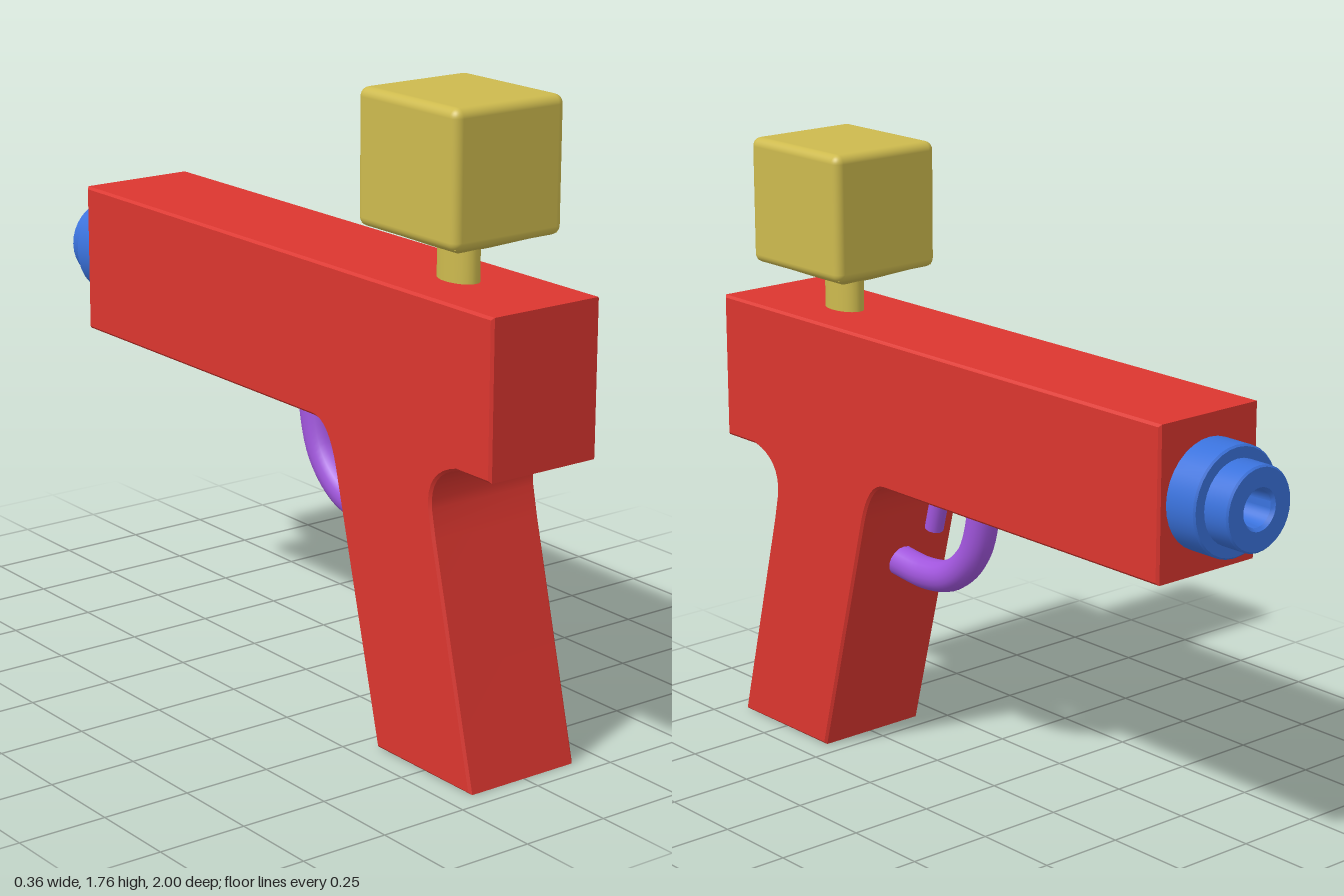
import * as THREE from 'three';
import { toCreasedNormals } from 'three/addons/utils/BufferGeometryUtils.js';
import { RoundedBoxGeometry } from 'three/addons/geometries/RoundedBoxGeometry.js';

const material = (name, color) => {
  const m = new THREE.MeshStandardMaterial({ color });
  m.name = name;
  return m;
};

export function createModel() {
  const model = new THREE.Group();
  const red = material('red', 0xdb362f);
  const blue = material('blue', 0x3a72dc);
  const purple = material('purple', 0xa055dc);
  const yellow = material('yellow', 0xcdba4e);
  const CX = -0.005; // centre line of the body

  const add = (name, geometry, mat, x = CX, y = 0, z = 0) => {
    const mesh = new THREE.Mesh(geometry, mat);
    mesh.name = name;
    mesh.position.set(x, y, z);
    model.add(mesh);
    return mesh;
  };

  // Body and grip: one side silhouette in (z, y), extruded across x
  const outline = new THREE.Shape();
  outline.moveTo(0.945, 0);
  outline.lineTo(0.557, 0);
  outline.lineTo(0.368, 0.73);
  outline.quadraticCurveTo(0.335, 0.85, 0.27, 0.85);
  outline.lineTo(-0.82, 0.85);
  outline.lineTo(-0.82, 1.273);
  outline.lineTo(1, 1.273);
  outline.lineTo(1, 0.85);
  outline.lineTo(0.87, 0.85);
  outline.quadraticCurveTo(0.755, 0.82, 0.768, 0.72);
  outline.lineTo(0.785, 0.64);
  outline.closePath();
  const bevel = 0.007;
  const body = new THREE.ExtrudeGeometry(outline, {
    depth: 0.35 - 2 * bevel, bevelEnabled: true, bevelThickness: bevel,
    bevelSize: bevel, bevelOffset: -bevel, bevelSegments: 1, curveSegments: 8,
  });
  body.translate(0, 0, -0.175 + bevel);
  body.rotateY(-Math.PI / 2);
  add('bodyAndGrip', toCreasedNormals(body, 0.5), red);

  // Stepped nozzle with a bore, turned around the z axis
  const profile = [
    [0.15, 0.8], [0.15, 0.915], [0.145, 0.92], [0.115, 0.92], [0.115, 0.995],
    [0.11, 1], [0.058, 1], [0.05, 0.99], [0.045, 0.9], [0, 0.9],
  ].map(([r, h]) => new THREE.Vector2(r, h));
  const nozzle = new THREE.LatheGeometry(profile, 32);
  nozzle.rotateX(-Math.PI / 2);
  add('nozzle', toCreasedNormals(nozzle, 0.5), blue, CX, 1.06);

  // Tank: rounded box, tapered underside and oval neck
  add('tank', new RoundedBoxGeometry(0.355, 0.36, 0.395, 4, 0.025), yellow, 0, 1.58, 0.65);
  const funnel = new THREE.CylinderGeometry(Math.SQRT2, 0.3 * Math.SQRT2, 0.05, 4, 1);
  funnel.rotateY(Math.PI / 4);
  funnel.scale(0.168, 1, 0.188);
  add('tankUnderside', toCreasedNormals(funnel, 0.3), yellow, 0, 1.382, 0.65);
  const neck = new THREE.CylinderGeometry(1, 1, 0.16, 24);
  neck.scale(0.044, 1, 0.07);
  add('tankNeck', neck, yellow, 0, 1.32, 0.65);

  // Trigger guard: bent rod from the body to the grip
  const path = new THREE.CatmullRomCurve3([
    [0.9, 0.045], [0.8, 0.05], [0.67, 0.09], [0.585, 0.18], [0.56, 0.29], [0.573, 0.45],
  ].map(([y, z]) => new THREE.Vector3(0, y, z)));
  add('triggerGuard', new THREE.TubeGeometry(path, 32, 0.046, 16), purple);

  // Trigger: short slanted rod
  const trigger = add('trigger', new THREE.CylinderGeometry(0.027, 0.027, 0.2, 16), purple, CX, 0.798, 0.238);
  trigger.rotation.x = -0.26;

  return model;
}
